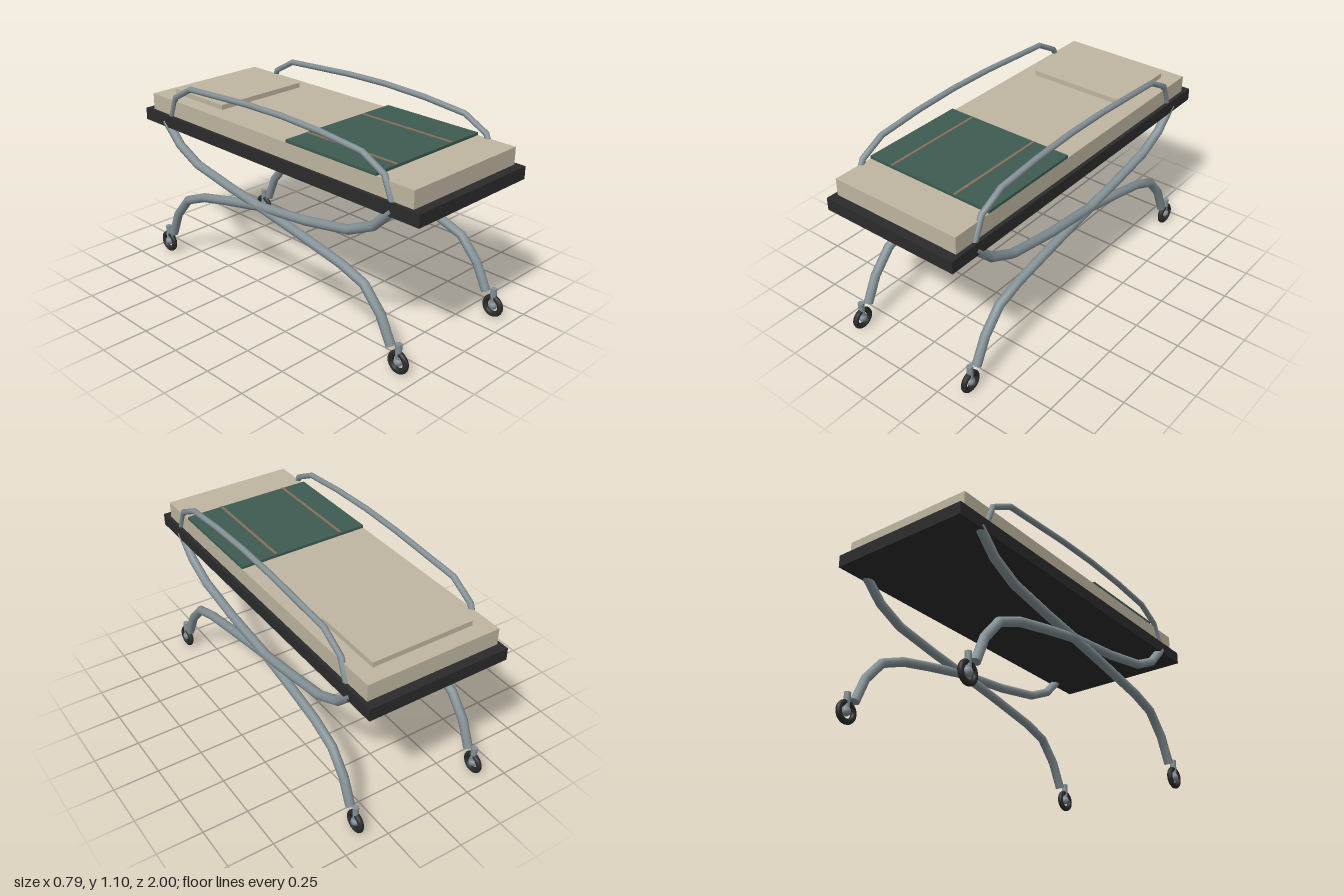
import * as THREE from 'three';

const mat = (name, color) => {
  const m = new THREE.MeshStandardMaterial({ color });
  m.name = name;
  return m;
};

// Straight-sided path through [z, y] points with mitred corners
class Polyline extends THREE.Curve {
  constructor(points) {
    super();
    this.points = points.map(([z, y]) => new THREE.Vector3(0, y, z));
  }
  getPoint(t) {
    const p = this.points, n = p.length - 1;
    const i = Math.min(Math.floor(t * n + 1e-6), n - 1);
    return p[i].clone().lerp(p[i + 1], t * n - i);
  }
  getPointAt(t) { return this.getPoint(t); }
  getTangentAt(t) {
    const p = this.points, n = p.length - 1, i = Math.round(t * n);
    const dir = new THREE.Vector3();
    if (i > 0) dir.add(p[i].clone().sub(p[i - 1]).normalize());
    if (i < n) dir.add(p[i + 1].clone().sub(p[i]).normalize());
    return dir.normalize();
  }
}

export function createModel() {
  const model = new THREE.Group();
  model.name = 'wheeledBed';
  const steel = mat('steel grey', 0x849196);
  const black = mat('black', 0x2b2b2b);
  const cream = mat('cream', 0xbfb6a2);
  const green = mat('dark green', 0x3e5c51);
  const brown = mat('brown', 0x86705f);

  const add = (parent, name, geometry, material, x = 0, y = 0, z = 0) => {
    const mesh = new THREE.Mesh(geometry, material);
    mesh.name = name;
    mesh.position.set(x, y, z);
    parent.add(mesh);
    return mesh;
  };
  // Box given by its x, y and z extents
  const box = (name, material, [x0, x1], [y0, y1], [z0, z1]) =>
    add(model, name, new THREE.BoxGeometry(x1 - x0, y1 - y0, z1 - z0), material,
      (x0 + x1) / 2, (y0 + y1) / 2, (z0 + z1) / 2);
  // Bent tube with closed ends
  const tube = (name, points, radius, x) => {
    const group = new THREE.Group();
    group.name = name;
    group.position.x = x;
    const path = new Polyline(points);
    add(group, name + 'Tube', new THREE.TubeGeometry(path, points.length - 1, radius, 10), steel);
    for (const [t, sign] of [[0, -1], [1, 1]]) {
      const p = path.getPoint(t);
      const cap = add(group, name + 'End', new THREE.CircleGeometry(radius, 10), steel, p.x, p.y, p.z);
      cap.quaternion.setFromUnitVectors(new THREE.Vector3(0, 0, 1),
        path.getTangentAt(t).multiplyScalar(sign));
    }
    model.add(group);
  };

  // Deck, mattress and bedding
  box('deck', black, [-0.393, 0.393], [0.8, 0.867], [-1, 1]);
  box('mattress', cream, [-0.372, 0.372], [0.867, 0.958], [-0.95, 0.95]);
  box('pillow', cream, [-0.283, 0.283], [0.958, 0.985], [-0.863, -0.458]);
  box('blanket', green, [-0.372, 0.372], [0.958, 0.973], [0.133, 0.725]);
  for (const x of [-0.228, 0.167])
    box('strap', brown, [x - 0.007, x + 0.007], [0.972, 0.977], [0.143, 0.725]);

  const railPath = [[0.825, 0.86], [0.775, 0.98], [0.64, 1.05], [0.38, 1.075], [0.11, 1.086],
    [-0.155, 1.082], [-0.61, 1.056], [-0.745, 0.98], [-0.79, 0.86]];
  const frontLegPath = [[-0.84, 0.825], [-0.725, 0.71], [-0.575, 0.637], [-0.3, 0.585], [-0.075, 0.55],
    [0.19, 0.503], [0.515, 0.44], [0.665, 0.39], [0.775, 0.27], [0.843, 0.13]];
  const backLegPath = [[0.83, 0.825], [0.715, 0.71], [0.56, 0.637], [0.27, 0.585], [-0.075, 0.55],
    [-0.34, 0.497], [-0.535, 0.453], [-0.685, 0.39], [-0.787, 0.27], [-0.845, 0.13]];

  for (const x of [-0.371, 0.371]) {
    // Side rail and crossed legs
    tube('sideRail', railPath, 0.016, x);
    tube('frontLeg', frontLegPath, 0.025, x);
    tube('backLeg', backLegPath, 0.025, x);

    // Casters
    for (const z of [-0.893, 0.893]) {
      const caster = new THREE.Group();
      caster.name = 'caster';
      caster.position.set(x, 0.062, z);
      const tyre = add(caster, 'tyre', new THREE.TorusGeometry(0.047, 0.015, 10, 24), black);
      tyre.rotation.y = Math.PI / 2;
      add(caster, 'hub', new THREE.SphereGeometry(0.024, 12, 8), steel, 0, 0.003, 0);
      add(caster, 'stem', new THREE.CylinderGeometry(0.017, 0.017, 0.09, 10), steel, 0, 0.055, 0);
      model.add(caster);
    }
  }
  return model;
}
